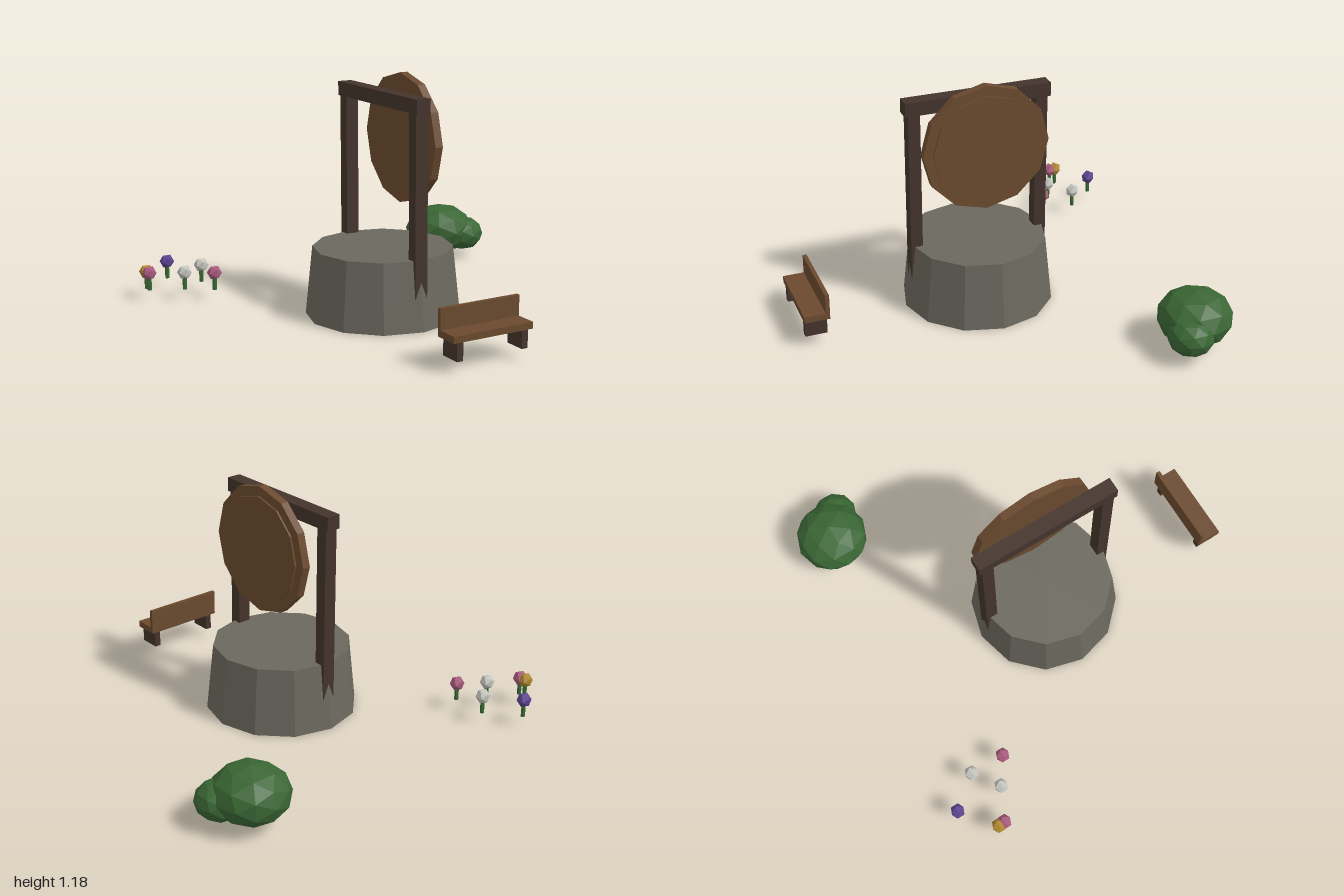
import * as THREE from 'three';

const mat = (name, color) => {
  const m = new THREE.MeshStandardMaterial({ color, flatShading: true });
  m.name = name;
  return m;
};

export function createModel() {
  const stone = mat('stone', 0x6b685e);
  const darkWood = mat('dark wood', 0x44342c);
  const wood = mat('wood', 0x6b4a2f);
  const leaf = mat('leaf green', 0x3a6634);
  const stemGreen = mat('stem green', 0x3a6a35);
  const pink = mat('pink petal', 0xa85a7c);
  const white = mat('white petal', 0xc4c4be);
  const purple = mat('purple petal', 0x5c4490);
  const yellow = mat('yellow petal', 0xb08830);

  const model = new THREE.Group();
  model.name = 'wellGarden';

  const add = (parent, name, geometry, material, x, y, z) => {
    const mesh = new THREE.Mesh(geometry, material);
    mesh.name = name;
    mesh.position.set(x, y, z);
    parent.add(mesh);
    return mesh;
  };
  // Box given by its lower and upper limits
  const box = (parent, name, material, [x0, x1], [y0, y1], [z0, z1]) =>
    add(parent, name, new THREE.BoxGeometry(x1 - x0, y1 - y0, z1 - z0), material,
      (x0 + x1) / 2, (y0 + y1) / 2, (z0 + z1) / 2);

  // Tapered twelve-sided stone base with a timber frame and round wooden disc
  const well = new THREE.Group();
  well.name = 'well';
  well.position.set(-0.06, 0, 0.019);
  model.add(well);
  add(well, 'stoneBase', new THREE.CylinderGeometry(0.344, 0.38, 0.34, 12), stone, 0, 0.17, 0);
  for (const side of [-1, 1]) {
    add(well, 'post', new THREE.BoxGeometry(0.066, 0.94, 0.06), darkWood, 0, 0.57, side * 0.325);
  }
  add(well, 'crossBeam', new THREE.BoxGeometry(0.073, 0.07, 0.74), darkWood, 0, 1.072, 0);

  // Disc stands upright, facing sideways, with a raised inner plate
  const disc = add(well, 'disc', new THREE.CylinderGeometry(0.319, 0.319, 0.041, 12), wood, 0.118, 0.864, 0);
  disc.rotation.z = -Math.PI / 2;
  const plate = add(well, 'discPlate', new THREE.CylinderGeometry(0.27, 0.27, 0.03, 12), wood, 0.132, 0.864, 0);
  plate.rotation.z = -Math.PI / 2;

  // Bench
  const bench = new THREE.Group();
  bench.name = 'bench';
  model.add(bench);
  box(bench, 'seat', wood, [-0.27, 0.15], [0.14, 0.172], [0.842, 0.967]);
  box(bench, 'backrest', wood, [-0.27, 0.15], [0.172, 0.27], [0.842, 0.862]);
  for (const x of [-0.233, 0.111]) {
    box(bench, 'benchLeg', darkWood, [x - 0.016, x + 0.016], [0.053, 0.14], [0.853, 0.962]);
  }

  // Bush made of two squashed faceted balls
  const bush = new THREE.Group();
  bush.name = 'bush';
  model.add(bush);
  for (const [name, x, y, z, r, ry] of [
    ['largeFoliage', 0.776, 0.161, -0.767, 0.185, 0.136],
    ['smallFoliage', 0.887, 0.132, -0.69, 0.113, 0.094],
  ]) {
    add(bush, name, new THREE.IcosahedronGeometry(1, 1), leaf, x, y, z).scale.set(r, ry, r);
  }

  // Flowers
  const petalGeo = new THREE.IcosahedronGeometry(0.038, 0);
  const stemGeo = new THREE.CylinderGeometry(0.011, 0.011, 0.08, 6);
  for (const [x, z, petal] of [
    [-0.802, -0.938, purple], [-0.968, -0.803, yellow], [-0.966, -0.77, pink],
    [-0.676, -0.784, white], [-0.807, -0.692, white], [-0.68, -0.607, pink],
  ]) {
    const flower = new THREE.Group();
    flower.name = 'flower';
    flower.position.set(x, 0, z);
    model.add(flower);
    add(flower, 'stem', stemGeo, stemGreen, 0, 0.092, 0);
    add(flower, 'bloom', petalGeo, petal, 0, 0.142, 0);
  }

  return model;
}
